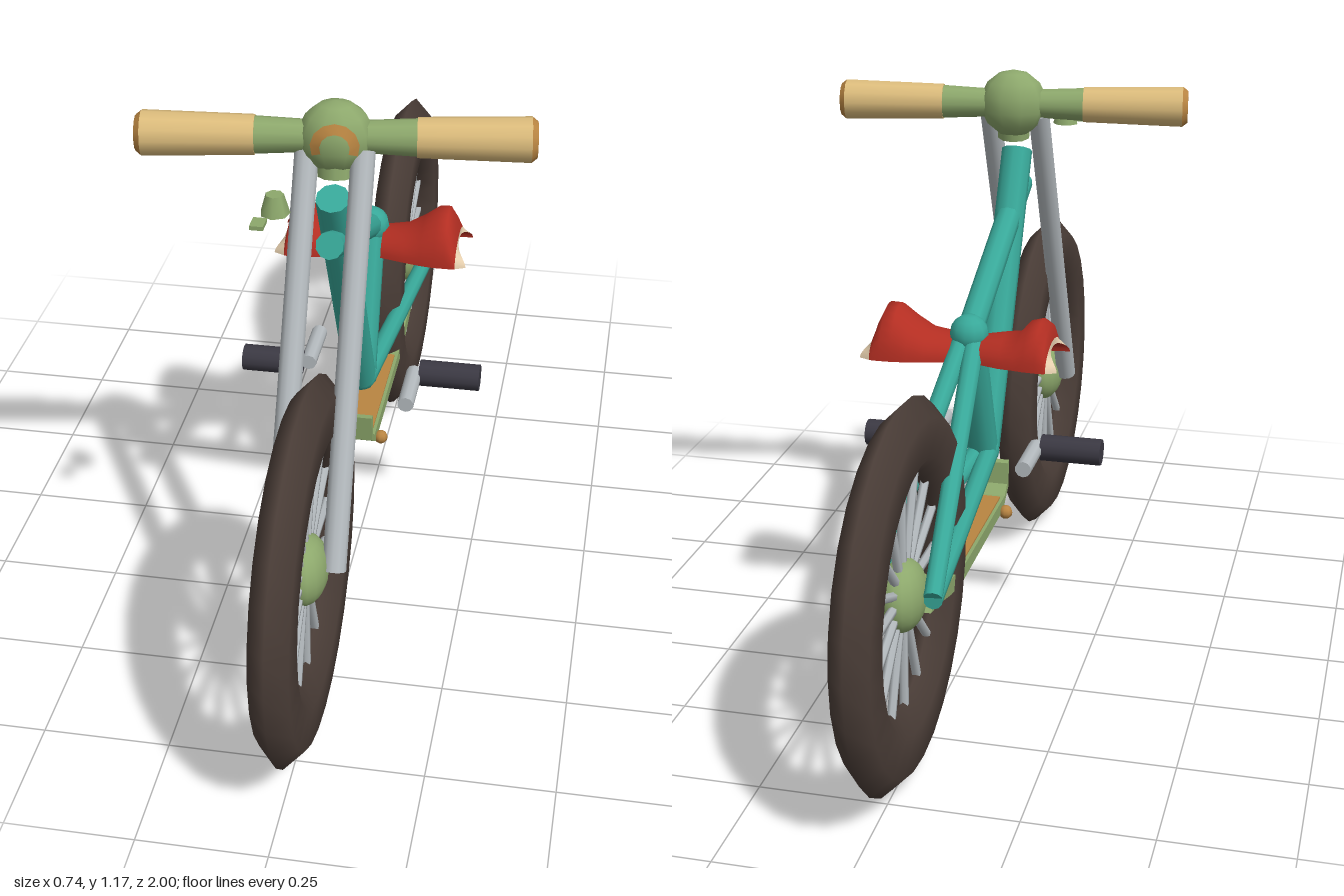
import * as THREE from 'three';

const mat = (name, color, side = THREE.FrontSide) => {
  const m = new THREE.MeshStandardMaterial({ color, side });
  m.name = name;
  return m;
};
const V = (x, y, z) => new THREE.Vector3(x, y, z);

export function createModel() {
  const teal = mat('teal paint', 0x38a899);
  const rubber = mat('brown rubber', 0x4a3d37);
  const metal = mat('pale metal', 0xb4babe);
  const green = mat('sage green', 0x8da86c);
  const tan = mat('tan grip', 0xdcbc7c);
  const ochre = mat('ochre', 0xb98542);
  const red = mat('red leather', 0xb32e22, THREE.DoubleSide);
  const cream = mat('cream lining', 0xe6cfae, THREE.DoubleSide);
  const dark = mat('dark pedal', 0x3b3943);

  const model = new THREE.Group();
  model.name = 'bicycle';

  const add = (parent, name, geometry, material, pos) => {
    const mesh = new THREE.Mesh(geometry, material);
    mesh.name = name;
    if (pos) mesh.position.copy(pos);
    parent.add(mesh);
    return mesh;
  };
  // Straight round tube between two points
  const tube = (parent, name, a, b, r, material, sides = 12, rEnd = r) => {
    const d = b.clone().sub(a);
    const mesh = add(parent, name, new THREE.CylinderGeometry(rEnd, r, d.length(), sides), material,
      a.clone().add(b).multiplyScalar(0.5));
    mesh.quaternion.setFromUnitVectors(V(0, 1, 0), d.normalize());
    return mesh;
  };
  // Open surface through rows of points
  const loft = (rows) => {
    const n = rows[0].length, index = [];
    for (let i = 0; i < rows.length - 1; i++)
      for (let j = 0; j < n - 1; j++) {
        const a = i * n + j, b = a + n;
        index.push(a, b, a + 1, b, b + 1, a + 1);
      }
    const g = new THREE.BufferGeometry().setFromPoints(rows.flat());
    g.setIndex(index);
    g.computeVertexNormals();
    return g;
  };

  // Wheels: six-sided tyre section, hub and sixteen spokes
  const makeWheel = (name, z) => {
    const wheel = new THREE.Group();
    wheel.name = name;
    wheel.position.set(0, 0.375, z);
    const tyre = new THREE.TorusGeometry(0.295, 0.075, 6, 28);
    tyre.scale(1, 1, 0.57).rotateY(Math.PI / 2);
    add(wheel, 'tyre', tyre, rubber);
    const hub = new THREE.SphereGeometry(0.07, 16, 12);
    hub.scale(0.65, 1, 1);
    add(wheel, 'hub', hub, green);
    for (let i = 0; i < 16; i++) {
      const a = (i / 16) * Math.PI * 2;
      tube(wheel, 'spoke', V(0, 0, 0), V(0, Math.sin(a) * 0.235, Math.cos(a) * 0.235), 0.009, metal, 6);
    }
    model.add(wheel);
  };
  makeWheel('frontWheel', 0.63);
  makeWheel('rearWheel', -0.63);

  // Frame
  const frame = new THREE.Group();
  frame.name = 'frame';
  model.add(frame);
  const bracket = V(0, 0.415, 0), seatJoint = V(0, 0.715, -0.12);
  tube(frame, 'downTube', V(0, 0.42, 0.01), V(0, 0.995, 0.313), 0.033, teal, 10);
  tube(frame, 'topTube', seatJoint, V(0, 0.915, 0.35), 0.027, teal, 10);
  tube(frame, 'seatTube', bracket, seatJoint, 0.032, teal, 10);
  add(frame, 'seatJoint', new THREE.SphereGeometry(0.04, 12, 8), teal, seatJoint);
  add(frame, 'bottomBracket', new THREE.SphereGeometry(0.035, 12, 8), teal, bracket);
  for (const s of [-1, 1]) {
    tube(frame, 'chainStay', V(s * 0.012, 0.41, 0), V(s * 0.06, 0.375, -0.64), 0.021, teal, 10, 0.018);
    tube(frame, 'seatStay', V(s * 0.012, 0.705, -0.12), V(s * 0.06, 0.38, -0.64), 0.021, teal, 10, 0.018);
    tube(model, 'forkLeg', V(s * 0.055, 0.375, 0.625), V(s * 0.053, 1.085, 0.285), 0.023, metal, 12);
  }

  // Handlebar, turned slightly about the steering axis
  const bar = new THREE.Group();
  bar.name = 'handlebar';
  bar.position.set(0, 1.105, 0.275);
  bar.rotation.y = 0.125;
  model.add(bar);
  const stem = new THREE.SphereGeometry(0.072, 10, 7);
  stem.scale(1, 1, 0.82);
  add(bar, 'stem', stem, green);
  tube(bar, 'stemNeck', V(0, -0.075, 0.012), V(0, 0, 0), 0.035, green, 10);
  for (const s of [-1, 1]) {
    tube(bar, 'barHalf', V(s * 0.04, 0, 0), V(s * 0.16, 0, 0), 0.03, green, 12, 0.036);
    tube(bar, 'grip', V(s * 0.15, 0, 0), V(s * 0.36, 0, 0), 0.038, tan, 12, 0.043);
    tube(bar, 'gripCap', V(s * 0.36, 0, 0), V(s * 0.371, 0, 0), 0.043, ochre, 12, 0.034);
  }
  // Horseshoe patch on the front of the stem
  const patch = [-0.4, 0.1, 0.6, 1.1, 1.57, 2.04, 2.54, 3.04, 3.54].map((a) =>
    [0.028, 0.046].map((r) => {
      const x = Math.cos(a) * r, y = Math.sin(a) * r;
      return V(x, y, 0.82 * Math.sqrt(0.072 ** 2 - x * x - y * y) + 0.002);
    }).reverse());
  const patchMat = mat('ochre', 0xb98542, THREE.DoubleSide);
  ochre.side = patchMat.side;
  add(bar, 'stemPatch', loft(patch), ochre);

  // Small lever, detached in front of the right-hand side of the bar
  const lever = new THREE.Group();
  lever.name = 'lever';
  model.add(lever);
  tube(lever, 'leverKnob', V(-0.08, 1.028, 0.45), V(-0.08, 1.066, 0.45), 0.028, green, 7, 0.017);
  add(lever, 'leverTip', new THREE.BoxGeometry(0.025, 0.008, 0.035), green, V(-0.1, 1.03, 0.5));

  // Saddle: a lumpy arched shell on each side, with a cream lining and tips
  const arch = (s, x, h, w, flare = 0) => {
    const row = [];
    for (let j = 0; j <= 14; j++) {
      const a = (j / 14) * Math.PI;
      row.push(V(s * (x + flare * Math.abs(Math.cos(a)) ** 3), 0.668 + h * Math.sin(a), -0.117 + w * Math.cos(a)));
    }
    return row;
  };
  const halves = [
    [1, [[0.03, 0.045, 0.055], [0.08, 0.052, 0.068], [0.115, 0.074, 0.076], [0.145, 0.098, 0.08],
      [0.168, 0.099, 0.08], [0.182, 0.07, 0.08], [0.19, 0.045, 0.078]]],
    [-1, [[0.03, 0.045, 0.055], [0.075, 0.052, 0.07], [0.105, 0.056, 0.074], [0.125, 0.08, 0.078],
      [0.15, 0.087, 0.08], [0.166, 0.075, 0.08], [0.172, 0.045, 0.078]]],
  ];
  for (const [s, rows] of halves) {
    const saddle = new THREE.Group();
    saddle.name = s > 0 ? 'saddleLeft' : 'saddleRight';
    model.add(saddle);
    const end = rows[rows.length - 1][0];
    add(saddle, 'saddleShell', loft(rows.map((r) => arch(s, ...r))), red);
    add(saddle, 'saddleTips', loft([arch(s, end, 0.045, 0.078), arch(s, end, 0.032, 0.068, 0.022)]), cream);
    add(saddle, 'saddleLining', loft([arch(s, end, 0.032, 0.068, 0.022), arch(s, 0.04, 0.034, 0.048)]), red);
  }

  // Pedals and crank arms
  for (const s of [-1, 1]) {
    tube(model, 'crankArm', V(s * 0.115, 0.432, 0), V(s * 0.115, 0.432, s * 0.13), 0.017, metal, 10);
    tube(model, 'pedal', V(s * 0.127, 0.432, 0), V(s * 0.255, 0.432, 0), 0.028, dark, 12);
  }

  // Low guard running from below the pedals to the rear hub
  const outline = [[0.086, 0.36], [0.08, 0.3], [0.03, 0.265], [-0.34, 0.263], [-0.42, 0.278], [-0.5, 0.3],
    [-0.57, 0.312], [-0.5, 0.318], [-0.4, 0.308], [-0.3, 0.292], [0.045, 0.292], [0.068, 0.31], [0.07, 0.358]];
  const guard = new THREE.ExtrudeGeometry(new THREE.Shape(outline.map(([z, y]) => new THREE.Vector2(z, y))),
    { depth: 0.074, bevelEnabled: false });
  guard.translate(0, 0, -0.037).rotateY(-Math.PI / 2);
  add(model, 'guard', guard, green);
  add(model, 'guardInlay', new THREE.BoxGeometry(0.06, 0.006, 0.31), ochre, V(0, 0.293, -0.125));
  for (const s of [-1, 1])
    add(model, 'guardFoot', new THREE.SphereGeometry(0.015, 8, 6), ochre, V(s * 0.046, 0.268, 0.015));

  return model;
}
